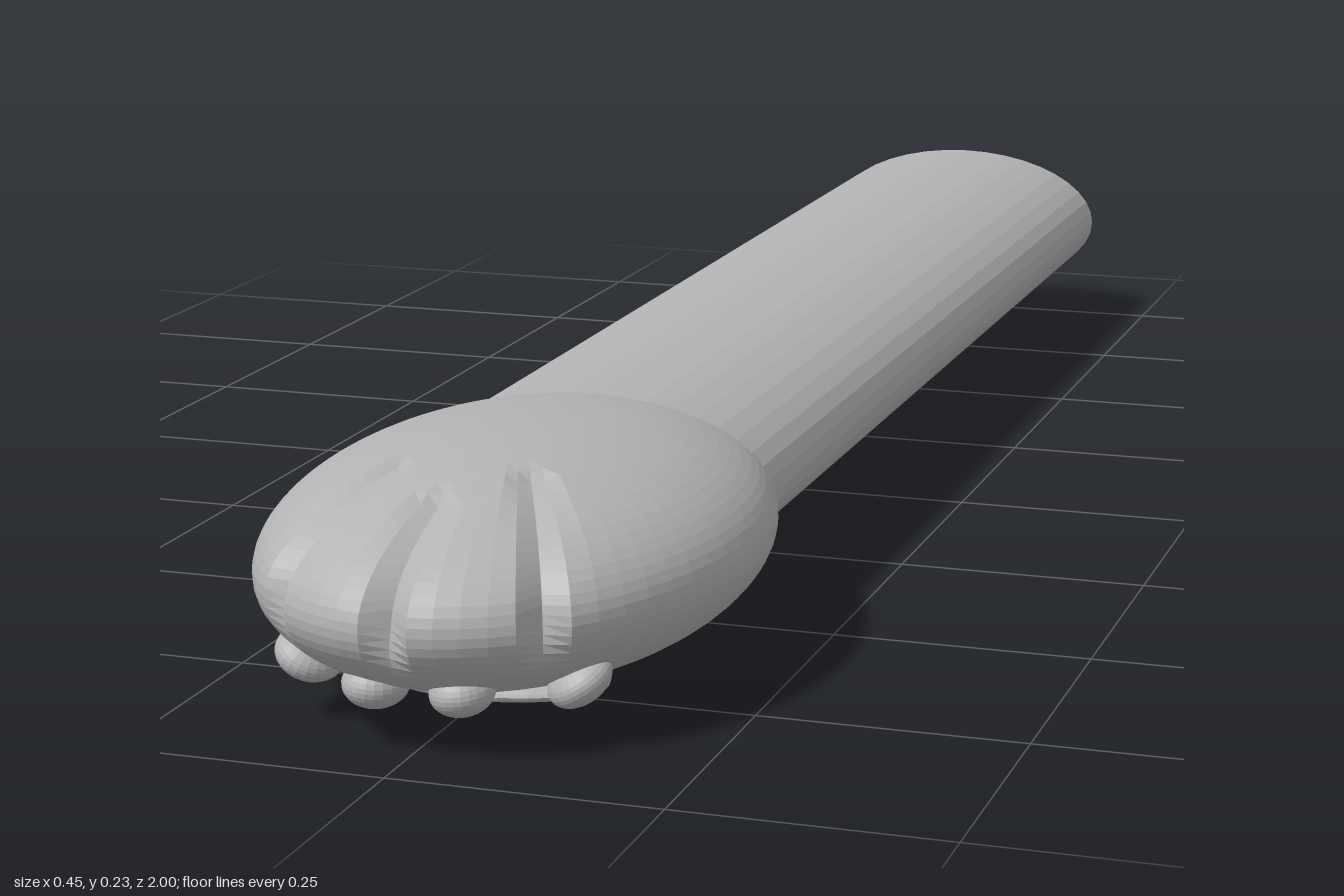
import * as THREE from 'three';

const fur = new THREE.MeshStandardMaterial({ color: 0xb3b3b3, flatShading: true });
fur.name = 'grey';

const CENTER = new THREE.Vector3(0, 0.125, 0.67);
const RADII = new THREE.Vector3(0.225, 0.11, 0.33);

// Creases between the toes, as seen from above: [x1, z1, x2, z2] around the paw centre
const creases = [
  [0, 0.21, 0, 0.36],
  [0.065, 0.14, 0.135, 0.29],
  [-0.07, 0.14, -0.135, 0.29],
];

function segmentDistance(x, z, [x1, z1, x2, z2]) {
  const dx = x2 - x1, dz = z2 - z1;
  const t = THREE.MathUtils.clamp(((x - x1) * dx + (z - z1) * dz) / (dx * dx + dz * dz), 0, 1);
  return Math.hypot(x - x1 - t * dx, z - z1 - t * dz);
}

// Ellipsoid whose upper front is pressed inwards along the creases
function pawGeometry() {
  const geo = new THREE.SphereGeometry(1, 64, 40);
  geo.scale(RADII.x, RADII.y, RADII.z);
  const pos = geo.attributes.position;
  const v = new THREE.Vector3();
  for (let i = 0; i < pos.count; i++) {
    v.fromBufferAttribute(pos, i);
    const fade = THREE.MathUtils.smoothstep(v.y, -0.055, 0.01);
    let press = 0;
    for (const c of creases) {
      press = Math.max(press, 1 - THREE.MathUtils.smoothstep(segmentDistance(v.x, v.z, c), 0.004, 0.024));
    }
    v.multiplyScalar(1 - 0.07 * press * fade);
    pos.setXYZ(i, v.x, v.y, v.z);
  }
  geo.computeVertexNormals();
  return geo;
}

function ellipsoid(name, [x, y, z], [rx, ry, rz], yaw = 0, roll = 0) {
  const mesh = new THREE.Mesh(new THREE.SphereGeometry(1, 24, 16), fur);
  mesh.name = name;
  mesh.scale.set(rx, ry, rz);
  mesh.position.set(x, y, z);
  mesh.rotation.set(0, yaw, roll);
  return mesh;
}

export function createModel() {
  const group = new THREE.Group();
  group.name = 'pawArm';

  // Flattened straight arm
  const armGeo = new THREE.CylinderGeometry(1, 1, 1.5, 40);
  armGeo.rotateX(Math.PI / 2);
  armGeo.scale(0.178, 0.09, 1);
  const arm = new THREE.Mesh(armGeo, fur);
  arm.name = 'arm';
  arm.position.set(0, CENTER.y, -0.25);
  group.add(arm);

  // Paw
  const paw = new THREE.Mesh(pawGeometry(), fur);
  paw.name = 'paw';
  paw.position.copy(CENTER);
  group.add(paw);

  // Pads under the paw
  group.add(ellipsoid('palmPad', [0, 0.015, 0.75], [0.112, 0.014, 0.065]));
  for (const s of [1, -1]) {
    group.add(ellipsoid('innerToePad', [s * 0.04, 0.057, 0.92], [0.029, 0.022, 0.034], s * 0.12, s * 0.1));
    group.add(ellipsoid('outerToePad', [s * 0.127, 0.058, 0.865], [0.031, 0.02, 0.034], s * 0.4, s * 0.55));
  }
  return group;
}
